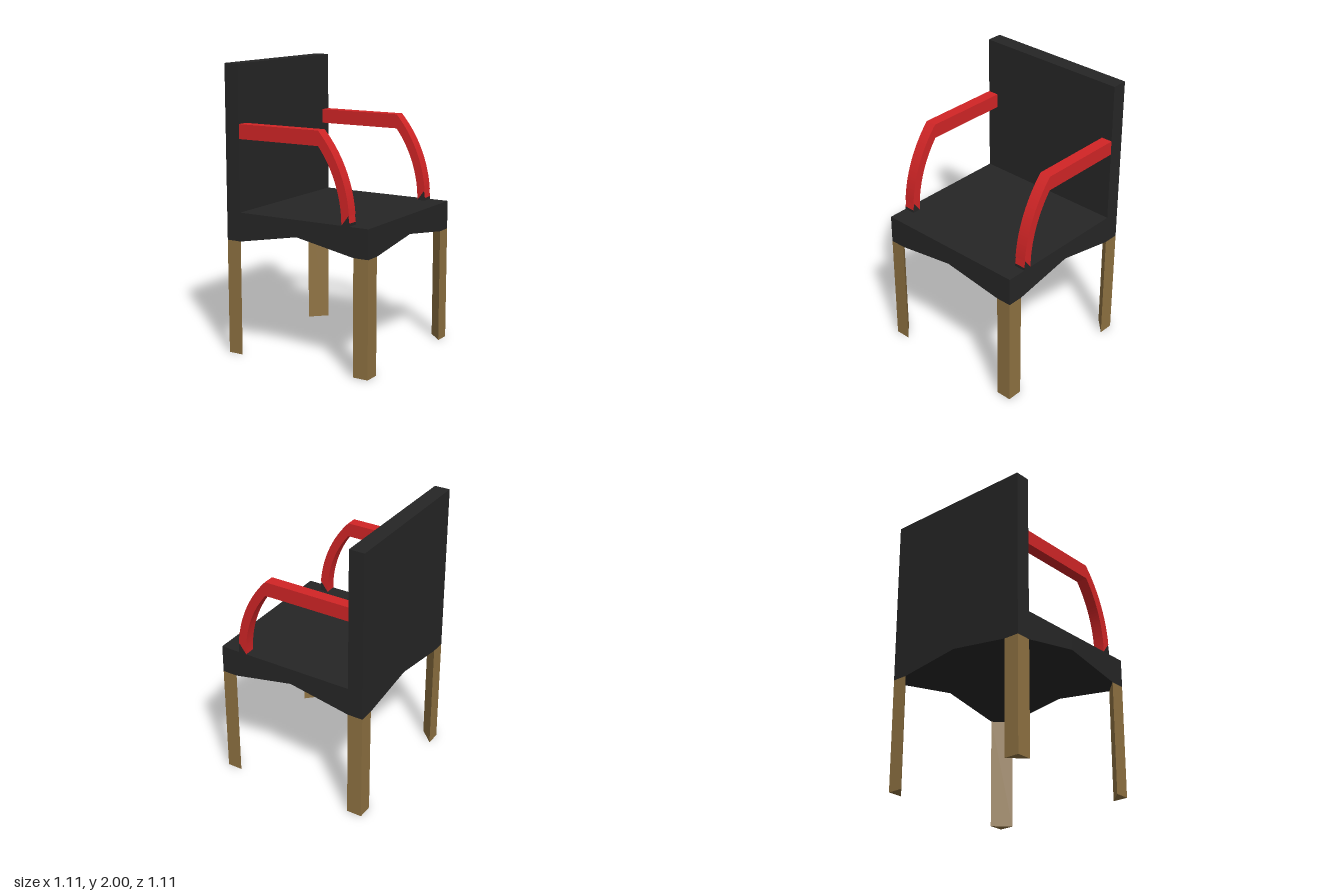
import * as THREE from 'three';

const H = 0.555;   // half width of the chair
const T = 0.11;    // thickness of legs and backrest
const I = H - T;

function material(name, color, side = THREE.FrontSide) {
  const m = new THREE.MeshStandardMaterial({ color, side });
  m.name = name;
  return m;
}

// Slab with a flat top and an underside that arches up at the middle of each edge
function seatGeometry() {
  const edge = (rise) => [[H, H, 0.8], [I, H, 0.8], [0, H, rise], [-I, H, 0.8]];
  const rim = [];
  for (let k = 0; k < 4; k++) {
    for (const [a, b, y] of edge(k % 2 ? 0.865 : 0.885)) {
      let x = a, z = b;
      for (let r = 0; r < k; r++) [x, z] = [-z, x]; // quarter turns
      rim.push([x, y, z]);
    }
  }
  const pos = [];
  rim.forEach((p, i) => {
    const q = rim[(i + 1) % rim.length];
    const pt = [p[0], 1, p[2]], qt = [q[0], 1, q[2]];
    pos.push(...p, ...pt, ...q, ...q, ...pt, ...qt);  // side
    pos.push(0, 1, 0, ...qt, ...pt);                  // top
    pos.push(0, 0.8, 0, ...p, ...q);                  // underside
  });
  const g = new THREE.BufferGeometry();
  g.setAttribute('position', new THREE.Float32BufferAttribute(pos, 3));
  g.computeVertexNormals();
  return g;
}

const polygon = (pts) => new THREE.Shape(pts.map(([x, y]) => new THREE.Vector2(x, y)));

const extrude = (shape, depth) =>
  new THREE.ExtrudeGeometry(shape, { depth, bevelEnabled: false, curveSegments: 14 });

// Straight rail that bends into a curved front post
function armShape() {
  const rOut = 0.884, rIn = 0.802;
  const s = new THREE.Shape();
  s.moveTo(-I, 1.5);
  s.lineTo(0.18, 1.5);
  s.absarc(0.355 - rIn, 1, rIn, Math.asin(0.5 / rIn), 0, true);
  s.lineTo(0.408, 1.07);
  s.absarc(0.415 - rOut, 1, rOut, Math.asin(0.07 / rOut), Math.asin(0.6 / rOut), false);
  s.lineTo(-I, 1.6);
  return s;
}

export function createModel() {
  const black = material('black upholstery', 0x262626, THREE.DoubleSide);
  const red = material('red paint', 0xd22526);
  const wood = material('brown wood', 0x8f7242);
  const chair = new THREE.Group();
  chair.name = 'armchair';

  const add = (name, geometry, mat, parent = chair) => {
    const m = new THREE.Mesh(geometry, mat);
    m.name = name;
    parent.add(m);
    return m;
  };

  add('seat', seatGeometry(), black);

  // Backrest along the -x side
  add('backrest', new THREE.BoxGeometry(T, 1, 2 * H), black).position.set(-H + T / 2, 1.5, 0);

  // Triangular legs, cut diagonally on the inner side
  const legGeometry = extrude(polygon([[H, H], [I, H], [H, I]]), 0.8);
  legGeometry.rotateX(-Math.PI / 2);
  for (let k = 0; k < 4; k++) {
    add('leg', legGeometry, wood).rotation.y = k * Math.PI / 2;
  }

  // Armrests with dark wedge feet
  const width = 0.08;
  const railGeometry = extrude(armShape(), width);
  const wedgeGeometry = extrude(polygon([[0.355, 1], [0.415, 1.02], [0.408, 1.07]]), width);
  const footGeometry = extrude(polygon([[0.355, 1], [0.415, 1], [0.415, 1.02]]), width);
  for (const z of [-H, H - width]) {
    const arm = new THREE.Group();
    arm.name = 'armrest';
    arm.position.z = z;
    add('armRail', railGeometry, red, arm);
    add('armWedge', wedgeGeometry, [black, red], arm);
    add('armFoot', footGeometry, black, arm);
    chair.add(arm);
  }
  return chair;
}
